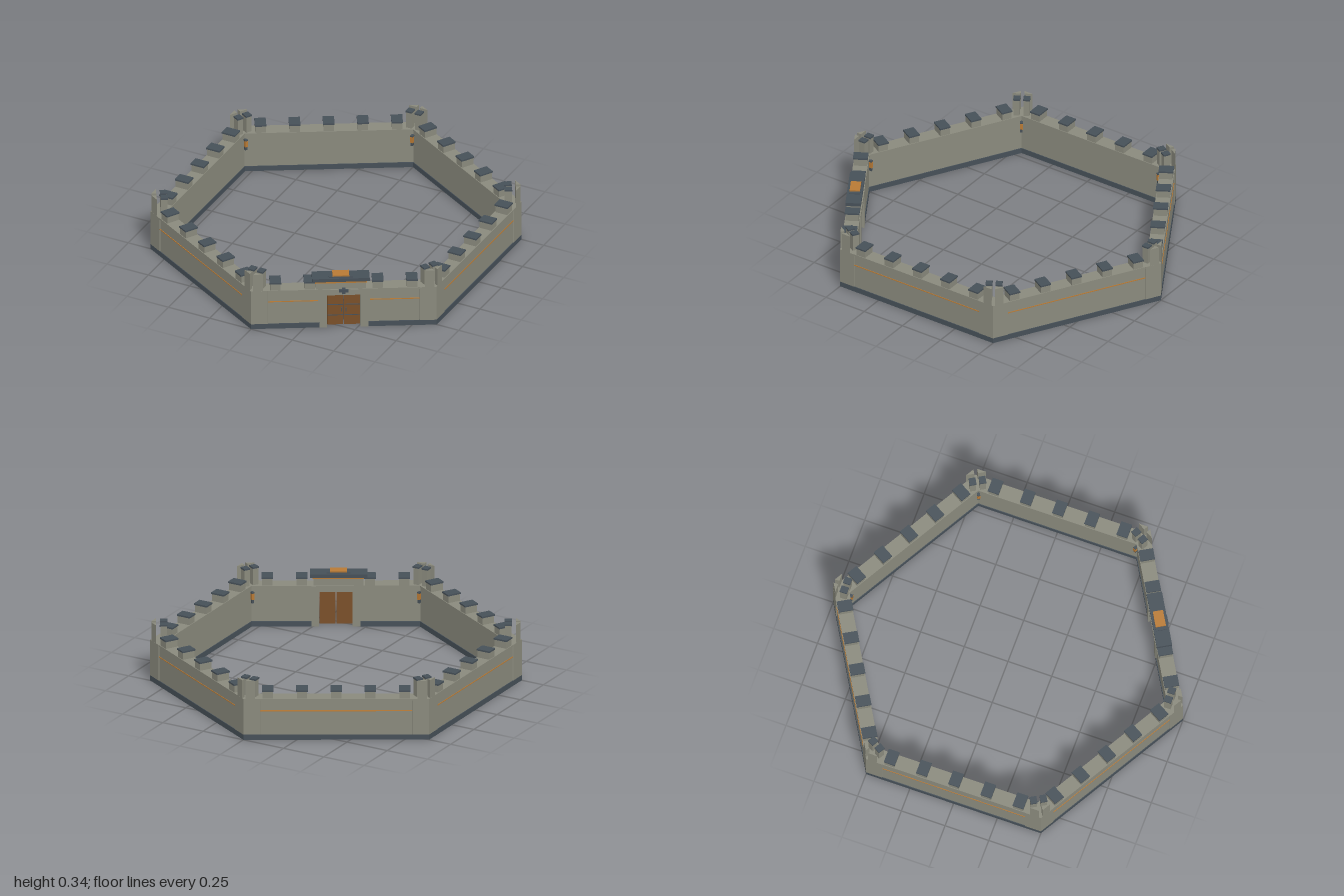
import * as THREE from 'three';

const mat = (name, color) => Object.assign(new THREE.MeshStandardMaterial({ color }), { name });

export function createModel() {
  const stone = mat('stone', 0x8a8a7d);
  const slate = mat('slate', 0x465058);
  const orange = mat('copper', 0xb87a35);
  const wood = mat('wood', 0x7a5029);
  const model = new THREE.Group();
  model.name = 'hexagonalFortress';
  const OUT = 0.862, IN = 0.788, MITRE = Math.tan(Math.PI / 6);

  // upright prism from a plan outline of [x, z] points
  function prism(parent, name, material, pts, y0, y1) {
    const shape = new THREE.Shape(pts.map(([x, z]) => new THREE.Vector2(x, -z)));
    const g = new THREE.ExtrudeGeometry(shape, { depth: y1 - y0, bevelEnabled: false });
    g.rotateX(-Math.PI / 2).translate(0, y0, 0);
    const m = new THREE.Mesh(g, material);
    m.name = name;
    parent.add(m);
  }
  function box(parent, name, material, w, h, d, x, y, z) {
    const m = new THREE.Mesh(new THREE.BoxGeometry(w, h, d), material);
    m.name = name;
    m.position.set(x, y, z);
    parent.add(m);
  }
  // wall course with mitred ends, split by an optional central opening
  function course(side, name, material, a0, a1, y0, y1, gap = 0) {
    const l0 = a0 * MITRE, l1 = a1 * MITRE;
    if (!gap) {
      prism(side, name, material, [[-l0, a0], [l0, a0], [l1, a1], [-l1, a1]], y0, y1);
    } else {
      for (const s of [-1, 1])
        prism(side, name, material, [[s * gap, a0], [s * l0, a0], [s * l1, a1], [s * gap, a1]], y0, y1);
    }
  }

  function gatehouse(side) {
    const mid = (OUT + IN) / 2;
    box(side, 'gateLintel', stone, 0.18, 0.035, OUT - IN, 0, 0.2175, mid);
    // slim surround on both faces
    for (const z of [OUT + 0.001, IN - 0.001]) {
      for (const s of [-1, 1]) box(side, 'gateJamb', stone, 0.042, 0.2, 0.008, s * 0.111, 0.1, z);
      box(side, 'gateHeader', stone, 0.264, 0.034, 0.008, 0, 0.217, z);
    }
    // two door leaves with bands and handles
    for (const s of [-1, 1]) {
      box(side, 'doorLeaf', wood, 0.086, 0.188, 0.05, s * 0.0455, 0.104, mid + 0.004);
      for (const y of [0.07, 0.135])
        box(side, 'doorBand', slate, 0.084, 0.004, 0.004, s * 0.0455, y, OUT - 0.007);
      box(side, 'doorHandle', slate, 0.006, 0.022, 0.008, s * 0.012, 0.105, OUT - 0.005);
    }
    // lamp above the door
    box(side, 'gateLamp', slate, 0.05, 0.016, 0.014, 0, 0.228, OUT + 0.005);
    box(side, 'gateLampStem', slate, 0.02, 0.035, 0.01, 0, 0.225, OUT + 0.004);
    // raised roof
    box(side, 'gateParapet', stone, 0.27, 0.04, 0.072, -0.015, 0.255, mid);
    box(side, 'gateTrim', orange, 0.28, 0.009, 0.08, -0.015, 0.2785, mid);
    box(side, 'gateRoof', slate, 0.31, 0.02, 0.084, -0.015, 0.293, mid);
    box(side, 'gateRoofCrest', slate, 0.13, 0.006, 0.06, -0.015, 0.305, mid);
    box(side, 'gateRoofBlock', orange, 0.09, 0.014, 0.056, -0.015, 0.309, mid);
  }

  // six wall sides; the first one carries the gate
  for (let k = 0; k < 6; k++) {
    const side = new THREE.Group();
    const gate = k === 0;
    side.name = gate ? 'gateWall' : 'wall';
    side.rotation.y = Math.PI / 6 + k * Math.PI / 3;
    model.add(side);
    course(side, 'wallBody', stone, IN, OUT, 0.002, 0.235, gate ? 0.09 : 0);
    course(side, 'wallBase', slate, IN - 0.004, OUT + 0.004, 0, 0.03, gate ? 0.132 : 0);
    course(side, 'wallCoping', stone, IN - 0.003, OUT + 0.003, 0.226, 0.236);

    // thin copper line on the outer face
    if (gate) for (const s of [-1, 1])
      box(side, 'copperLine', orange, 0.28, 0.005, 0.004, s * 0.28, 0.167, OUT + 0.001);
    else box(side, 'copperLine', orange, 0.84, 0.005, 0.004, 0, 0.167, OUT + 0.001);

    // merlons with slate caps
    for (let i = -2; i <= 2; i++) {
      if (gate && i === 0) continue;
      const x = i * 0.184, z = (IN + OUT) / 2;
      box(side, 'merlon', stone, 0.056, 0.042, 0.072, x, 0.256, z);
      box(side, 'merlonCap', slate, 0.062, 0.009, 0.08, x, 0.2805, z);
    }
    if (gate) gatehouse(side);
  }

  // six corner turrets, each a crown split by crossing slots
  for (let k = 0; k < 6; k++) {
    const corner = new THREE.Group();
    corner.name = 'cornerTurret';
    corner.rotation.y = k * Math.PI / 3;
    model.add(corner);
    for (const s of [-1, 1]) {
      // facing strip wrapping the outer corner
      prism(corner, 'cornerFacing', stone,
        [[0, 1], [s * 0.078, 0.955], [s * 0.078, 0.945], [0, 0.99]], 0.03, 0.236);
      prism(corner, 'outerProng', stone,
        [[s * 0.01, 0.968], [s * 0.01, 0.994], [s * 0.055, 0.968]], 0.235, 0.34);
      box(corner, 'innerProng', stone, 0.032, 0.098, 0.036, s * 0.027, 0.283, 0.927);
      box(corner, 'innerProngCap', slate, 0.037, 0.009, 0.041, s * 0.027, 0.3355, 0.927);
    }
    // lantern on the inner corner
    box(corner, 'lanternBracket', slate, 0.016, 0.008, 0.024, 0, 0.2, 0.9);
    box(corner, 'lantern', orange, 0.016, 0.035, 0.016, 0, 0.178, 0.895);
    box(corner, 'lanternFoot', slate, 0.012, 0.02, 0.014, 0, 0.15, 0.897);
  }
  return model;
}
